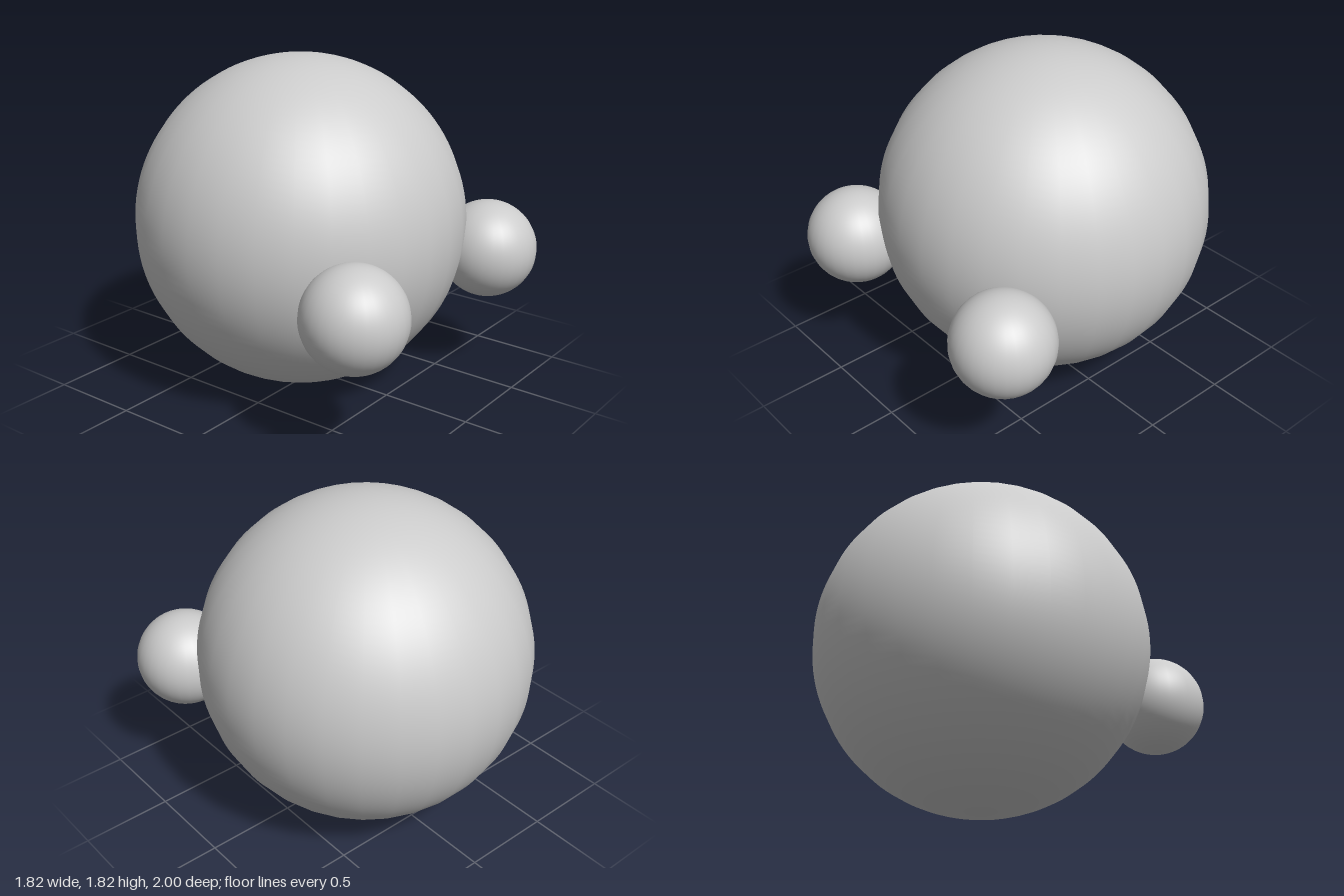
import * as THREE from 'three';

export function createModel() {
  const model = new THREE.Group();
  const material = new THREE.MeshStandardMaterial({ color: 0xcccccc });

  const addBall = (name, radius, x, y, z) => {
    const ball = new THREE.Mesh(new THREE.SphereGeometry(radius, 30, 60), material);
    ball.name = name;
    ball.position.set(x, y, z);
    model.add(ball);
  };

  // Large round body
  addBall('body', 0.91, 0, 0.912, -0.095);

  // Pair of small balls sunk into the front of the body
  for (const side of [1, -1]) {
    addBall(side > 0 ? 'leftBall' : 'rightBall', 0.272, side * 0.637, 0.733, 0.73);
  }
  return model;
}
